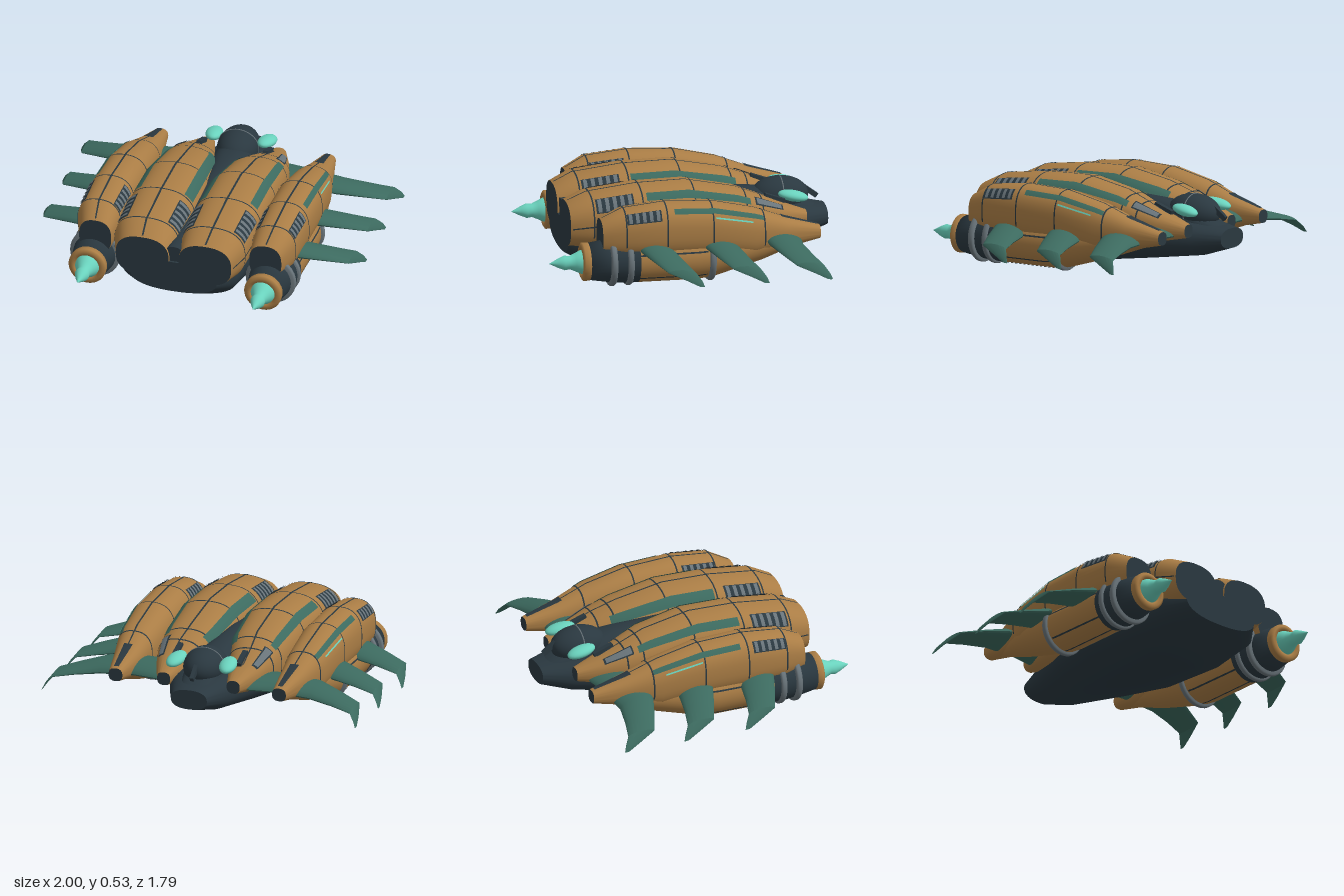
import * as THREE from 'three';
import { toCreasedNormals } from 'three/addons/utils/BufferGeometryUtils.js';

const RAD = Math.PI / 180;

// Skin a list of rows of points; closed rows wrap around
function skin(rows, closed) {
  const n = rows[0].length, idx = [];
  const geo = new THREE.BufferGeometry();
  geo.setAttribute('position', new THREE.Float32BufferAttribute(rows.flat(2), 3));
  for (let i = 0; i < rows.length - 1; i++)
    for (let j = 0; j < (closed ? n : n - 1); j++) {
      const k = (j + 1) % n, a = i * n + j, b = i * n + k, c = a + n, d = b + n;
      idx.push(a, c, b, b, c, d);
    }
  geo.setIndex(idx);
  return toCreasedNormals(geo, 0.6);
}

// A hull from sections [z, centre x, centre y, half width, half height], front to back
function hull(sections, power) {
  const at = (z) => {
    let i = 0;
    while (i < sections.length - 2 && sections[i + 1][0] > z) i++;
    const a = sections[i], b = sections[i + 1], t = (z - a[0]) / (b[0] - a[0]);
    return a.map((v, k) => v + (b[k] - v) * t);
  };
  const point = (z, deg, off = 0) => {
    const [, cx, cy, hw, hh] = at(z);
    const c = Math.cos(deg * RAD), s = Math.sin(deg * RAD), e = 2 / power;
    return [cx + (hw + off) * Math.sign(c) * Math.abs(c) ** e, cy + (hh + off) * Math.sign(s) * Math.abs(s) ** e, z];
  };
  const ring = (z, off) => Array.from({ length: 48 }, (_, j) => point(z, j * 7.5, off));
  const first = sections[0], last = sections[sections.length - 1];
  const centre = (s) => ring(s[0]).map(() => [s[1], s[2], s[0]]);
  return {
    body: () => skin(sections.map((s) => ring(s[0])), true),
    frontCap: () => skin([centre(first), ring(first[0])], true),
    backCap: () => skin([ring(last[0]), centre(last)], true),
    // thin plate lying on the surface between two stations and two angles
    patch: (z0, z1, a0, a1, off = 0.004) => {
      const zs = [z0, ...sections.map((s) => s[0]).filter((z) => z < z0 && z > z1), z1];
      const n = Math.max(2, Math.ceil((a1 - a0) / 6));
      return skin(zs.map((z) => Array.from({ length: n + 1 }, (_, j) => point(z, a0 + (a1 - a0) * j / n, off))), false);
    },
  };
}

function mirror(geo) {
  const g = geo.index ? geo.toNonIndexed() : geo.clone();
  g.scale(-1, 1, 1);
  for (const at of [g.attributes.position, g.attributes.normal])
    for (let i = 0; i < at.count; i += 3)
      for (let k = 0; k < 3; k++) {
        const v = at.getComponent(i + 1, k);
        at.setComponent(i + 1, k, at.getComponent(i + 2, k));
        at.setComponent(i + 2, k, v);
      }
  return g;
}

export function createModel() {
  const model = new THREE.Group();
  model.name = 'spaceship';
  const material = (name, color) => Object.assign(new THREE.MeshStandardMaterial({ color, side: THREE.DoubleSide }), { name });
  const bronze = material('bronze', 0xaa7d45), dark = material('dark slate', 0x2a3840);
  const green = material('deep green', 0x3c6a5f), teal = material('bright teal', 0x6ad2bd), grey = material('grey', 0x69747a);

  const add = (name, geo, mat) => {
    const m = new THREE.Mesh(geo, mat);
    m.name = name;
    model.add(m);
    return m;
  };
  const both = (name, geo, mat) => {
    add(name + 'Left', geo, mat);
    add(name + 'Right', mirror(geo), mat);
  };
  const vent = (h, z0, z1, a0, a1) => {
    both('ventBase', h.patch(z0, z1, a0, a1, 0.005), dark);
    const step = (z0 - z1) / 5;
    for (let i = 0; i < 5; i++) {
      const z = z0 - step * (i + 0.25);
      both('ventSlat', h.patch(z, z - step * 0.5, a0 + 2, a1 - 2, 0.009), grey);
    }
  };

  // Dark belly, running into the snout
  const belly = hull([
    [0.72, 0, 0.2, 0.27, 0.1], [0.6, 0, 0.18, 0.36, 0.145], [0.3, 0, 0.18, 0.405, 0.175], [-0.1, 0, 0.19, 0.395, 0.17],
    [-0.4, 0, 0.2, 0.31, 0.145], [-0.72, 0, 0.2, 0.19, 0.105], [-0.9, 0, 0.21, 0.115, 0.06]], 2.4);
  add('belly', belly.body(), dark);
  add('bellyFront', belly.frontCap(), dark);
  add('snoutEnd', belly.backCap(), dark);

  // Spine filling the gap between the main hulls
  const spine = hull([
    [0.71, 0, 0.3, 0.07, 0.1], [-0.1, 0, 0.33, 0.07, 0.1], [-0.4, 0, 0.31, 0.11, 0.1],
    [-0.6, 0, 0.29, 0.13, 0.1], [-0.84, 0, 0.22, 0.1, 0.06]], 2.4);
  add('spine', spine.body(), dark);
  add('spineFront', spine.frontCap(), dark);

  // Main hulls
  const main = hull([
    [0.72, 0.195, 0.31, 0.165, 0.13], [0.6, 0.205, 0.33, 0.198, 0.165], [0.3, 0.205, 0.345, 0.208, 0.185],
    [0, 0.205, 0.345, 0.205, 0.19], [-0.3, 0.21, 0.31, 0.18, 0.165], [-0.45, 0.225, 0.295, 0.145, 0.125],
    [-0.58, 0.23, 0.28, 0.1, 0.085], [-0.74, 0.222, 0.265, 0.042, 0.04]], 2.5);
  both('mainHull', main.body(), bronze);
  both('mainHullFront', main.frontCap(), dark);
  both('mainHullTip', main.backCap(), dark);
  for (const z of [0.59, 0.29, -0.03, -0.35, -0.45]) both('mainHullSeam', main.patch(z, z - 0.009, -20, 200, 0.003), dark);
  both('mainHullTopSeam', main.patch(0.71, -0.6, 89.3, 90.7, 0.003), dark);
  both('mainHullSideSeam', main.patch(0.71, -0.3, -0.6, 0.6, 0.003), dark);
  both('outerStripe', main.patch(0.26, -0.38, 36, 55), green);
  both('innerStripe', main.patch(0.27, -0.38, 126, 150), green);
  vent(main, 0.57, 0.34, 22, 57);
  vent(main, 0.57, 0.34, 123, 158);
  both('windowFrame', main.patch(-0.41, -0.585, 38, 66, 0.004), dark);
  both('window', main.patch(-0.42, -0.575, 42, 62, 0.007), grey);

  // Outer pods
  const pod = hull([
    [0.58, 0.53, 0.31, 0.1, 0.11], [0.45, 0.545, 0.335, 0.132, 0.15], [0.2, 0.545, 0.34, 0.14, 0.17],
    [-0.1, 0.542, 0.33, 0.14, 0.165], [-0.35, 0.54, 0.29, 0.122, 0.148], [-0.55, 0.53, 0.27, 0.085, 0.092],
    [-0.76, 0.522, 0.26, 0.044, 0.04]], 2.5);
  both('pod', pod.body(), bronze);
  both('podFront', pod.frontCap(), dark);
  both('podTip', pod.backCap(), dark);
  for (const z of [0.45, 0.2, -0.08, -0.4]) both('podSeam', pod.patch(z, z - 0.009, -20, 200, 0.003), dark);
  both('podTopSeam', pod.patch(0.57, -0.55, 89, 91, 0.003), dark);
  both('podTipStrip', pod.patch(-0.52, -0.745, 78, 102, 0.006), dark);
  both('podStripe', pod.patch(0.15, -0.4, 40, 56), green);
  both('podLightLine', pod.patch(-0.1, -0.33, 27, 31, 0.006), teal);
  vent(pod, 0.44, 0.23, 25, 55);
  vent(pod, 0.44, 0.23, 125, 155);

  // Engine nacelles under the pods
  const nacelle = hull([
    [0.4, 0.547, 0.165, 0.14, 0.14], [0, 0.547, 0.165, 0.143, 0.143], [-0.1, 0.545, 0.17, 0.138, 0.138],
    [-0.4, 0.54, 0.215, 0.1, 0.1], [-0.65, 0.525, 0.25, 0.05, 0.05]], 2);
  both('nacelle', nacelle.body(), bronze);
  for (const a of [-140, -90, -42, 20]) both('nacelleGroove', nacelle.patch(0.38, -0.05, a, a + 4), dark);

  const turned = (profile) => new THREE.LatheGeometry(profile.map(([r, z]) => new THREE.Vector2(r, z)), 32)
    .rotateX(Math.PI / 2).translate(0.547, 0.165, 0);
  both('engineHousing', turned([[0.141, 0.36], [0.141, 0.44], [0.13, 0.54], [0.11, 0.66], [0, 0.66]]), dark);
  both('nozzleRing', turned([[0.1, 0.65], [0.114, 0.655], [0.116, 0.69], [0.1, 0.7], [0.078, 0.7], [0.07, 0.665]]), bronze);
  both('engineSpike', turned([[0.075, 0.66], [0.072, 0.7], [0.055, 0.735], [0.04, 0.77], [0.044, 0.8], [0.03, 0.835], [0, 0.895]]), teal);
  for (const z of [0.52, 0.42, -0.08])
    both('nacelleBand', turned([[0.12, z - 0.02], [0.148, z - 0.018], [0.155, z - 0.008], [0.155, z + 0.008], [0.148, z + 0.018], [0.12, z + 0.02]]), grey);

  // Three drooping wings per side: [x, front z, back z, y, half thickness]
  const wing = (dz, inner) => {
    const sections = [[inner, -0.41, -0.69, 0.26, 0.03], [0.45, -0.41, -0.65, 0.262, 0.036], [0.67, -0.42, -0.635, 0.243, 0.036],
      [0.82, -0.475, -0.665, 0.215, 0.024], [0.95, -0.53, -0.7, 0.186, 0.014], [0.985, -0.64, -0.73, 0.14, 0.008], [1, -0.71, -0.742, 0.106, 0.004]];
    return skin(sections.map(([x, zf, zb, y, t]) => Array.from({ length: 20 }, (_, j) => {
      const a = j * 18 * RAD, c = Math.cos(a);
      return [x, y + t * Math.sin(a) + c * t * 0.4 - c * c * t * 0.3, dz + (zf + zb) / 2 + c * (zf - zb) / 2];
    })), true);
  };
  both('rearWing', wing(0, 0.2), green);
  both('middleWing', wing(0.385, 0.44), green);
  both('frontWing', wing(0.78, 0.44), green);

  // Head: canopy dome, eye pods, barrels and crest
  const ball = (x, y, z, sx, sy, sz) => new THREE.SphereGeometry(1, 28, 18).scale(sx, sy, sz).translate(x, y, z);
  add('canopy', ball(0, 0.345, -0.625, 0.125, 0.11, 0.175), dark);
  add('canopySeam', new THREE.TorusGeometry(0.119, 0.004, 6, 40).scale(1.04, 0.92, 1).translate(0, 0.345, -0.63), grey);
  add('crest', new THREE.BoxGeometry(0.025, 0.03, 0.13).rotateX(-0.65).translate(0, 0.36, -0.8), dark);
  both('eyePod', new THREE.SphereGeometry(1, 24, 16).scale(0.052, 0.033, 0.092).rotateX(-0.18).rotateY(-0.12).translate(0.165, 0.378, -0.675), teal);
  both('barrel', new THREE.BoxGeometry(0.032, 0.04, 0.13).rotateX(-0.35).translate(0.207, 0.378, -0.55), dark);

  return model;
}
